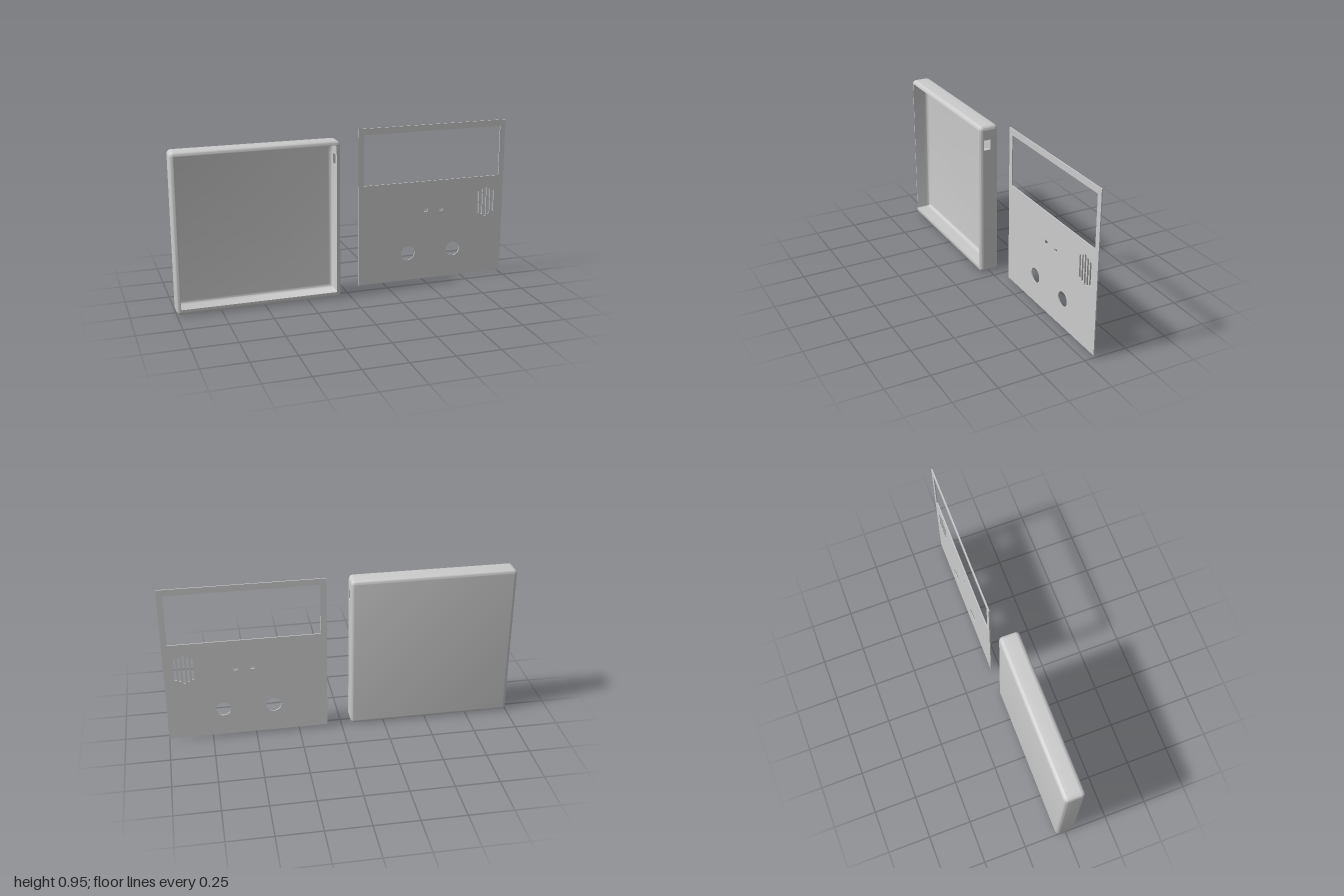
import * as THREE from 'three';
import { toCreasedNormals } from 'three/addons/utils/BufferGeometryUtils.js';

const material = new THREE.MeshStandardMaterial({ color: 0xcccccc });

// Outer bounds of the tray, its side port and its wall thicknesses
const L = -1, R = -0.055, B = 0, T = 0.92, FRONT = 0.058, BACK = -0.058;
const FILLET = 0.022, CORNER = 0.024, STEPS = 6;
const PORT = { y0: 0.78, y1: 0.84, z0: -0.008, z1: 0.033 };
const WALL = { l: 0.022, r: 0.025, b: 0.034, t: 0.022 };
const NONE = { l: 0, r: 0, b: 0, t: 0 };

// Rounded rectangle at depth z, counter-clockwise, with two extra points on the right side for the port
function ring(wall, inset, z, radius) {
  const r = Math.max(radius, 0.002);
  const x0 = L + wall.l + inset + r, x1 = R - wall.r - inset - r;
  const y0 = B + wall.b + inset + r, y1 = T - wall.t - inset - r;
  const points = [];
  const corner = (x, y, start) => {
    for (let i = 0; i <= STEPS; i++) {
      const a = start + (i / STEPS) * Math.PI / 2;
      points.push(new THREE.Vector3(x + r * Math.cos(a), y + r * Math.sin(a), z));
    }
  };
  corner(x1, y0, -Math.PI / 2);
  points.push(new THREE.Vector3(x1 + r, PORT.y0, z), new THREE.Vector3(x1 + r, PORT.y1, z));
  corner(x1, y1, 0);
  corner(x0, y1, Math.PI / 2);
  corner(x0, y0, Math.PI);
  return points;
}

function trayGeometry() {
  const rings = [];
  const arc = (i) => (i / STEPS) * Math.PI / 2;

  // Outside: back fillet, straight wall split at the port, front fillet
  for (let i = 0; i <= STEPS; i++) {
    const d = FILLET * (1 - Math.sin(arc(i)));
    rings.push(ring(NONE, d, BACK + FILLET * (1 - Math.cos(arc(i))), CORNER - d));
  }
  const outerPort = rings.length;
  rings.push(ring(NONE, 0, PORT.z0, CORNER), ring(NONE, 0, PORT.z1, CORNER));
  for (let i = 0; i <= STEPS; i++) {
    const d = FILLET * (1 - Math.cos(arc(i)));
    rings.push(ring(NONE, d, FRONT - FILLET * (1 - Math.sin(arc(i))), CORNER - d));
  }

  // Inside: opening, straight wall split at the port, fillet to the floor
  const inner = 0.006, bend = 0.02, floor = -0.034;
  rings.push(ring(WALL, 0, FRONT, inner));
  const innerPort = rings.length;
  rings.push(ring(WALL, 0, PORT.z1, inner), ring(WALL, 0, PORT.z0, inner));
  for (let i = 0; i <= STEPS; i++) {
    const d = bend * (1 - Math.cos(arc(i)));
    rings.push(ring(WALL, d, floor + bend * (1 - Math.sin(arc(i))), inner - d));
  }

  const vertices = [];
  const tri = (a, b, c) => [a, b, c].forEach((p) => vertices.push(p.x, p.y, p.z));
  const quad = (a, b, c, d) => { tri(a, b, c); tri(a, c, d); };
  const n = rings[0].length, gap = STEPS + 1;
  for (let i = 0; i < rings.length - 1; i++) {
    for (let j = 0; j < n; j++) {
      if (j === gap && (i === outerPort || i === innerPort)) continue; // port opening
      const k = (j + 1) % n;
      quad(rings[i][j], rings[i][k], rings[i + 1][k], rings[i + 1][j]);
    }
  }

  // Back face and inside floor
  const first = rings[0], last = rings[rings.length - 1];
  for (let j = 1; j < n - 1; j++) {
    tri(first[0], first[j + 1], first[j]);
    tri(last[0], last[j], last[j + 1]);
  }

  // Sides of the port through the wall
  const around = (low, high) => [low[gap], low[gap + 1], high[gap + 1], high[gap]];
  const o = around(rings[outerPort], rings[outerPort + 1]);
  const p = around(rings[innerPort + 1], rings[innerPort]);
  for (let k = 0; k < 4; k++) {
    const m = (k + 1) % 4;
    quad(o[k], o[m], p[m], p[k]);
  }

  const geometry = new THREE.BufferGeometry();
  geometry.setAttribute('position', new THREE.Float32BufferAttribute(vertices, 3));
  return toCreasedNormals(geometry, 0.6);
}

// Rectangle by centre and size, as a Shape or a hole Path
function rect(Type, cx, cy, w, h) {
  const path = new Type();
  path.moveTo(cx - w / 2, cy - h / 2);
  path.lineTo(cx + w / 2, cy - h / 2);
  path.lineTo(cx + w / 2, cy + h / 2);
  path.lineTo(cx - w / 2, cy + h / 2);
  path.closePath();
  return path;
}

function panelGeometry() {
  const shape = rect(THREE.Shape, 0.5425, 0.485, 0.915, 0.94);
  const hole = (...args) => shape.holes.push(rect(THREE.Path, ...args));

  // Display window and two indicator slots
  hole(0.543, 0.768, 0.85, 0.3);
  hole(0.505, 0.44, 0.026, 0.02);
  hole(0.602, 0.437, 0.026, 0.014);

  // Speaker grille, longest slot in the middle
  for (let i = -2; i <= 2; i++) {
    hole(0.888 + i * 0.024, 0.461, 0.013, 0.177 - Math.abs(i) * 0.022);
  }

  // Round button holes
  for (const x of [0.395, 0.683]) {
    const circle = new THREE.Path();
    circle.absarc(x, 0.183, 0.043, 0, Math.PI * 2, true);
    shape.holes.push(circle);
  }
  return new THREE.ExtrudeGeometry(shape, { depth: 0.006, bevelEnabled: false, curveSegments: 32 });
}

export function createModel() {
  const group = new THREE.Group();
  group.name = 'enclosure';

  const tray = new THREE.Mesh(trayGeometry(), material);
  tray.name = 'caseTray';

  const panel = new THREE.Mesh(panelGeometry(), material);
  panel.name = 'facePanel';
  panel.position.z = BACK;

  group.add(tray, panel);
  return group;
}
